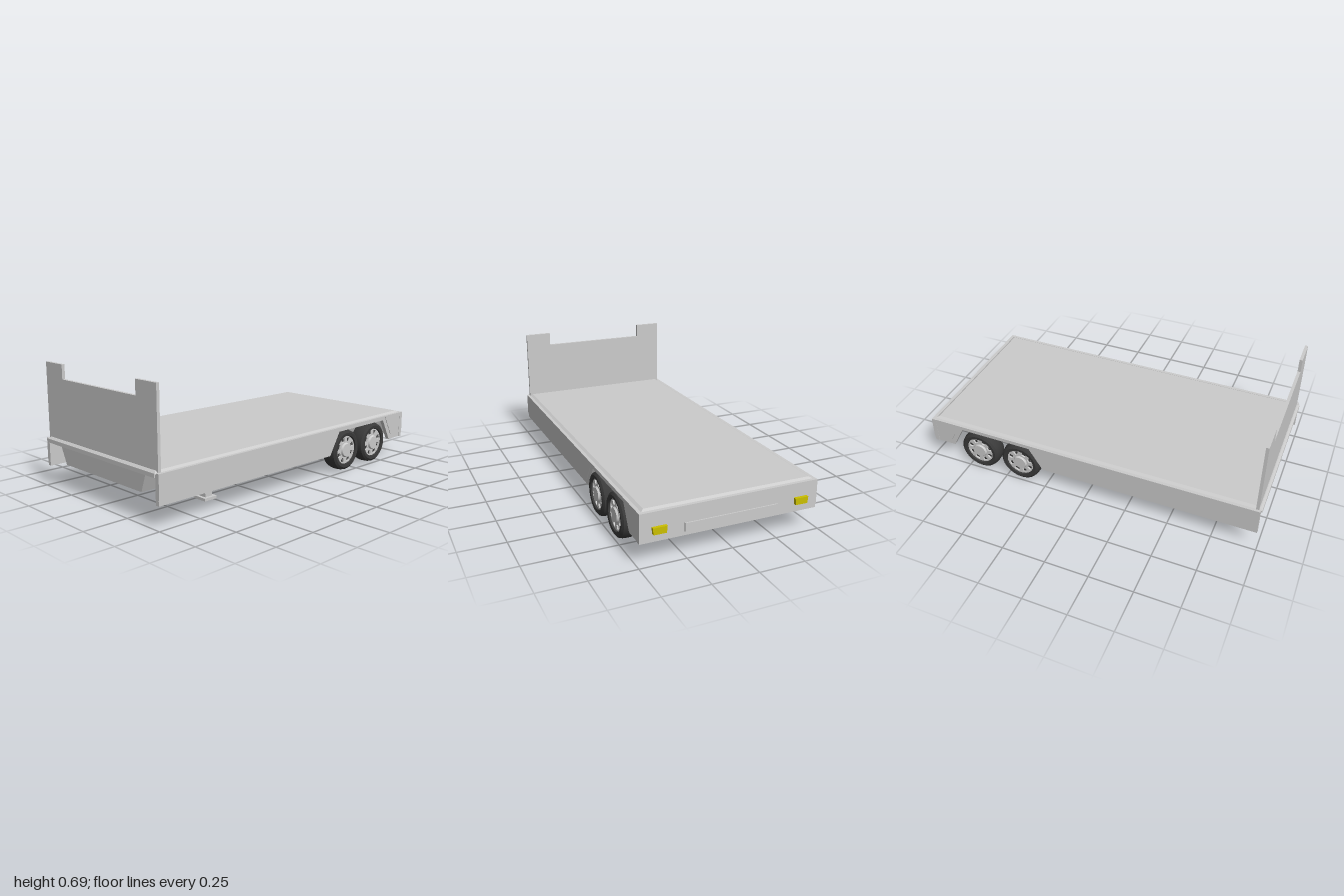
import * as THREE from 'three';
import { toCreasedNormals } from 'three/addons/utils/BufferGeometryUtils.js';

const mat = (color) => new THREE.MeshStandardMaterial({ color });
const grey = mat(0xcccccc);
const rubber = mat(0x3a3a3a);
const amber = mat(0xccc000);

function add(parent, name, geometry, x = 0, y = 0, z = 0, material = grey) {
  const mesh = new THREE.Mesh(geometry, material);
  mesh.name = name;
  mesh.position.set(x, y, z);
  parent.add(mesh);
  return mesh;
}

// Box given by its limits
function block(parent, name, [x0, x1], [y0, y1], [z0, z1], material) {
  return add(parent, name, new THREE.BoxGeometry(x1 - x0, y1 - y0, z1 - z0),
    (x0 + x1) / 2, (y0 + y1) / 2, (z0 + z1) / 2, material);
}

// Outline extruded along z from 0 to depth
function plate(points, depth) {
  const shape = new THREE.Shape(points.map(([x, y]) => new THREE.Vector2(x, y)));
  return new THREE.ExtrudeGeometry(shape, { depth, bevelEnabled: false });
}

// Box whose top has its own x and z limits
function taperedBox([x0, x1], [y0, y1], z, [tx0, tx1], tz) {
  const g = new THREE.BoxGeometry(1, 1, 1).toNonIndexed();
  const p = g.attributes.position;
  for (let i = 0; i < p.count; i++) {
    const top = p.getY(i) > 0, right = p.getX(i) > 0;
    p.setXYZ(i, top ? (right ? tx1 : tx0) : (right ? x1 : x0), top ? y1 : y0,
      Math.sign(p.getZ(i)) * (top ? tz : z));
  }
  g.computeVertexNormals();
  return g;
}

// Side skirt outline with the wheel arch cut into its lower edge
function skirtOutline(bottom, archTop, a, b, c, d) {
  return [[-0.99, bottom], [a, bottom], [b, archTop], [c, archTop], [d, bottom],
    [0.97, bottom], [0.97, 0.272], [-0.99, 0.272]];
}

function createWheel() {
  const wheel = new THREE.Group();
  wheel.name = 'wheel';

  // Tyre with rounded shoulders, closed on the inner side
  const profile = [[0, -0.035], [0.078, -0.035], [0.085, -0.045], [0.104, -0.047], [0.116, -0.038],
    [0.121, -0.02], [0.122, 0], [0.121, 0.02], [0.116, 0.038], [0.104, 0.047],
    [0.086, 0.045], [0.081, 0.024], [0, 0.024]];
  const tyre = new THREE.LatheGeometry(profile.map(([r, y]) => new THREE.Vector2(r, y)), 32);
  tyre.rotateX(Math.PI / 2);
  add(wheel, 'tyre', toCreasedNormals(tyre, 0.6), 0, 0, 0, rubber);

  // Rim disc with a ring of openings
  const disc = new THREE.Shape().absarc(0, 0, 0.083, 0, Math.PI * 2);
  for (let i = 0; i < 8; i++) {
    const a = (i + 0.5) * Math.PI / 4;
    const hole = new THREE.Path();
    hole.absarc(0, 0, 0.075, a - 0.2, a + 0.2, false);
    hole.absarc(0, 0, 0.052, a + 0.2, a - 0.2, true);
    hole.closePath();
    disc.holes.push(hole);
  }
  add(wheel, 'rim', new THREE.ExtrudeGeometry(disc,
    { depth: 0.01, bevelEnabled: false, curveSegments: 16 }), 0, 0, 0.026);
  const hub = new THREE.CylinderGeometry(0.037, 0.043, 0.01, 20).rotateX(Math.PI / 2);
  add(wheel, 'hub', hub, 0, 0, 0.041);
  return wheel;
}

export function createModel() {
  const model = new THREE.Group();
  model.name = 'flatbedTrailer';

  // Load bed: slab with a bevelled top and a tapered underbody
  block(model, 'deckSlab', [-0.997, 0.965], [0.25, 0.271], [-0.465, 0.465]);
  add(model, 'deckSurface',
    taperedBox([-0.997, 0.967], [0.27, 0.281], 0.475, [-0.985, 0.95], 0.457));
  add(model, 'underbody',
    taperedBox([-0.97, 0.96], [0.145, 0.255], 0.33, [-0.975, 0.96], 0.375));

  // Side skirts: outer panel over a slightly recessed lower lip
  const panel = plate(skirtOutline(0.145, 0.266, 0.24, 0.325, 0.8, 0.865), 0.006);
  const lip = plate(skirtOutline(0.116, 0.247, 0.265, 0.345, 0.78, 0.85), 0.022);
  for (const side of [1, -1]) {
    add(model, 'skirtPanel', panel, 0, 0, side > 0 ? 0.484 : -0.49);
    add(model, 'skirtLip', lip, 0, 0, side > 0 ? 0.465 : -0.487);
  }

  // Rear panel with lip and central bar
  block(model, 'rearPanel', [0.955, 0.983], [0.136, 0.272], [-0.491, 0.491]);
  block(model, 'rearLip', [0.957, 0.98], [0.115, 0.137], [-0.49, 0.49]);
  block(model, 'rearBar', [0.975, 0.99], [0.136, 0.183], [-0.257, 0.257]);

  // Headboard with raised corners
  const board = plate([[-0.475, 0.272], [0.475, 0.272], [0.475, 0.692], [0.318, 0.692],
    [0.318, 0.613], [-0.318, 0.613], [-0.318, 0.692], [-0.475, 0.692]], 0.017);
  add(model, 'headboard', board, -0.98).rotation.y = Math.PI / 2;

  const lamp = plate([[-0.034, -0.018], [0.034, -0.018], [0.038, 0.018], [-0.038, 0.018]], 0.02);
  for (const side of [1, -1]) {
    // Rear lamps
    add(model, 'rearLamp', lamp, 0.98, 0.178, side * 0.391, amber).rotation.y = Math.PI / 2;

    // Support legs
    const z = side * 0.285;
    block(model, 'supportLeg', [-0.546, -0.5], [0.01, 0.16], [z - 0.025, z + 0.025]);
    block(model, 'supportFoot', [-0.564, -0.482], [0, 0.015], [z - 0.043, z + 0.043]);

    // Tandem wheels
    for (const x of [0.408, 0.673]) {
      const wheel = createWheel();
      wheel.position.set(x, 0.127, side * 0.45);
      if (side < 0) wheel.rotation.y = Math.PI;
      model.add(wheel);
    }
  }
  return model;
}
